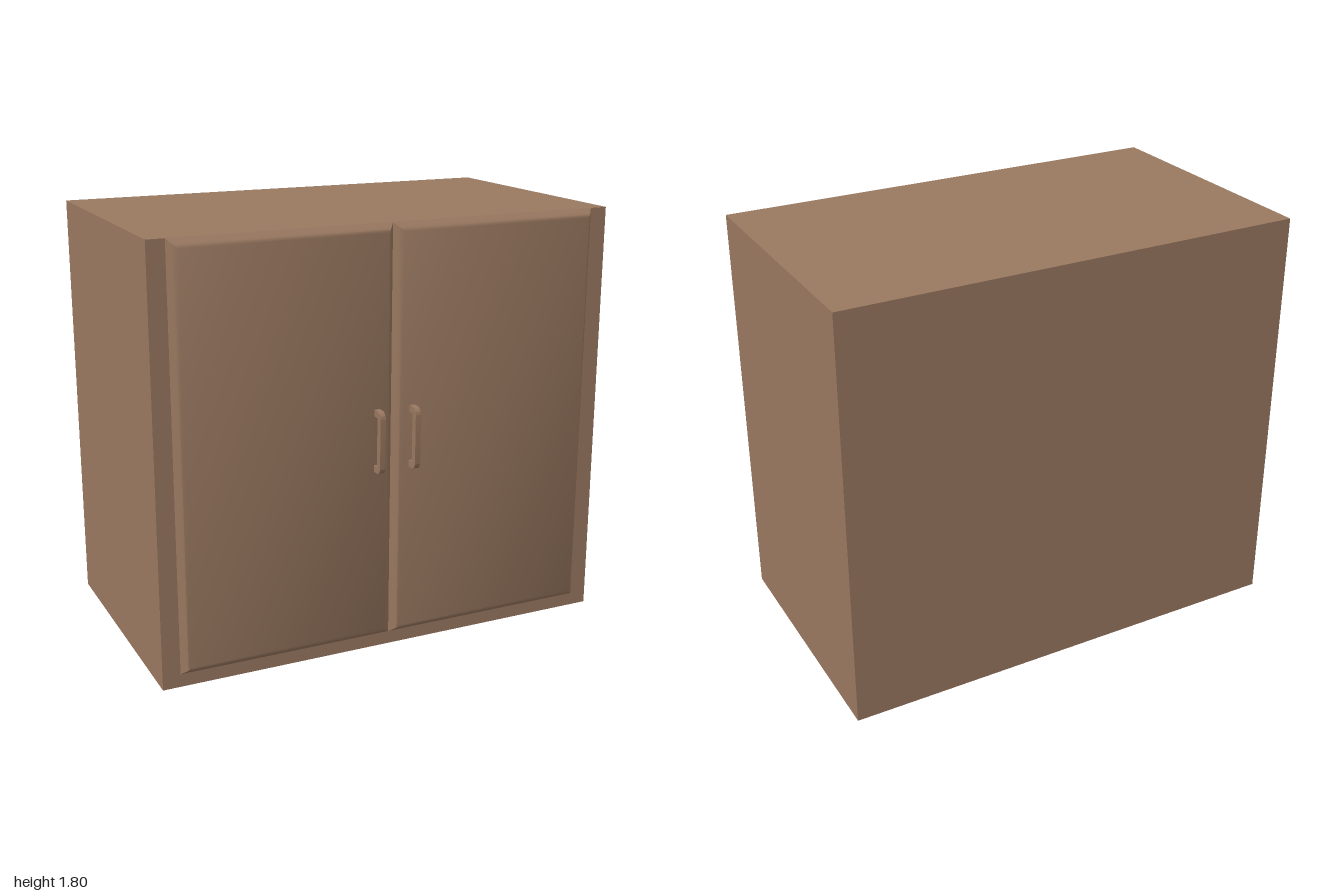
import * as THREE from 'three';
import { toCreasedNormals } from 'three/addons/utils/BufferGeometryUtils.js';

const wood = new THREE.MeshStandardMaterial({ color: 0x997860 });
wood.name = 'brown wood';

const TOP = 1.797, FACE = 0.527, DOOR_FRONT = 0.561;

// Door panel: rectangular loops shrinking toward the front along a rounded edge profile
function doorGeometry(x0, x1, y0, y1) {
  const profile = [[0, FACE], [0.011, 0.541], [0.018, 0.550], [0.025, 0.557], [0.035, DOOR_FRONT]]; // inset, z
  const corners = ([d, z]) => [
    [x0 + d, y0 + d, z], [x1 - d, y0 + d, z], [x1 - d, y1 - d, z], [x0 + d, y1 - d, z],
  ];
  const loops = profile.map(corners);
  const pos = [];
  const quad = (a, b, c, d) => pos.push(...a, ...b, ...c, ...a, ...c, ...d);
  for (let i = 0; i < loops.length - 1; i++) {
    for (let k = 0; k < 4; k++) {
      const n = (k + 1) % 4;
      quad(loops[i][k], loops[i][n], loops[i + 1][n], loops[i + 1][k]);
    }
  }
  quad(...loops[loops.length - 1]);
  const g = new THREE.BufferGeometry();
  g.setAttribute('position', new THREE.Float32BufferAttribute(pos, 3));
  return toCreasedNormals(g, 0.6);
}

// Bow handle: rounded bracket outline in (z, y), extruded across its width
function handleGeometry(width) {
  const y0 = 0.795, y1 = 1.057, t = 0.028, r = 0.03, front = 0.616, back = DOOR_FRONT - 0.002;
  const s = new THREE.Shape();
  s.moveTo(back, y0);
  s.lineTo(front - r, y0);
  s.absarc(front - r, y0 + r, r, -Math.PI / 2, 0, false);
  s.lineTo(front, y1 - r);
  s.absarc(front - r, y1 - r, r, 0, Math.PI / 2, false);
  s.lineTo(back, y1);
  s.lineTo(back, y1 - t);
  s.lineTo(front - t, y1 - t);
  s.lineTo(front - t, y0 + t);
  s.lineTo(back, y0 + t);
  s.closePath();
  const g = new THREE.ExtrudeGeometry(s, { depth: width, bevelEnabled: false, curveSegments: 6 });
  g.translate(0, 0, -width / 2);
  g.rotateY(-Math.PI / 2);
  return toCreasedNormals(g, 0.6);
}

export function createModel() {
  const group = new THREE.Group();
  group.name = 'cabinet';
  const add = (name, geometry) => {
    const mesh = new THREE.Mesh(geometry, wood);
    mesh.name = name;
    group.add(mesh);
    return mesh;
  };

  // Carcass
  const back = -0.616;
  add('cabinetBody', new THREE.BoxGeometry(2, TOP, FACE - back))
    .position.set(0, TOP / 2, (FACE + back) / 2);

  // Pair of doors with handles beside the centre line
  for (const [side, sx] of [['left', 1], ['right', -1]]) {
    add(side + 'Door', doorGeometry(Math.min(0, sx * 0.925), Math.max(0, sx * 0.925), 0.055, TOP));
    add(side + 'Handle', handleGeometry(0.024)).position.x = sx * 0.079;
  }
  return group;
}
